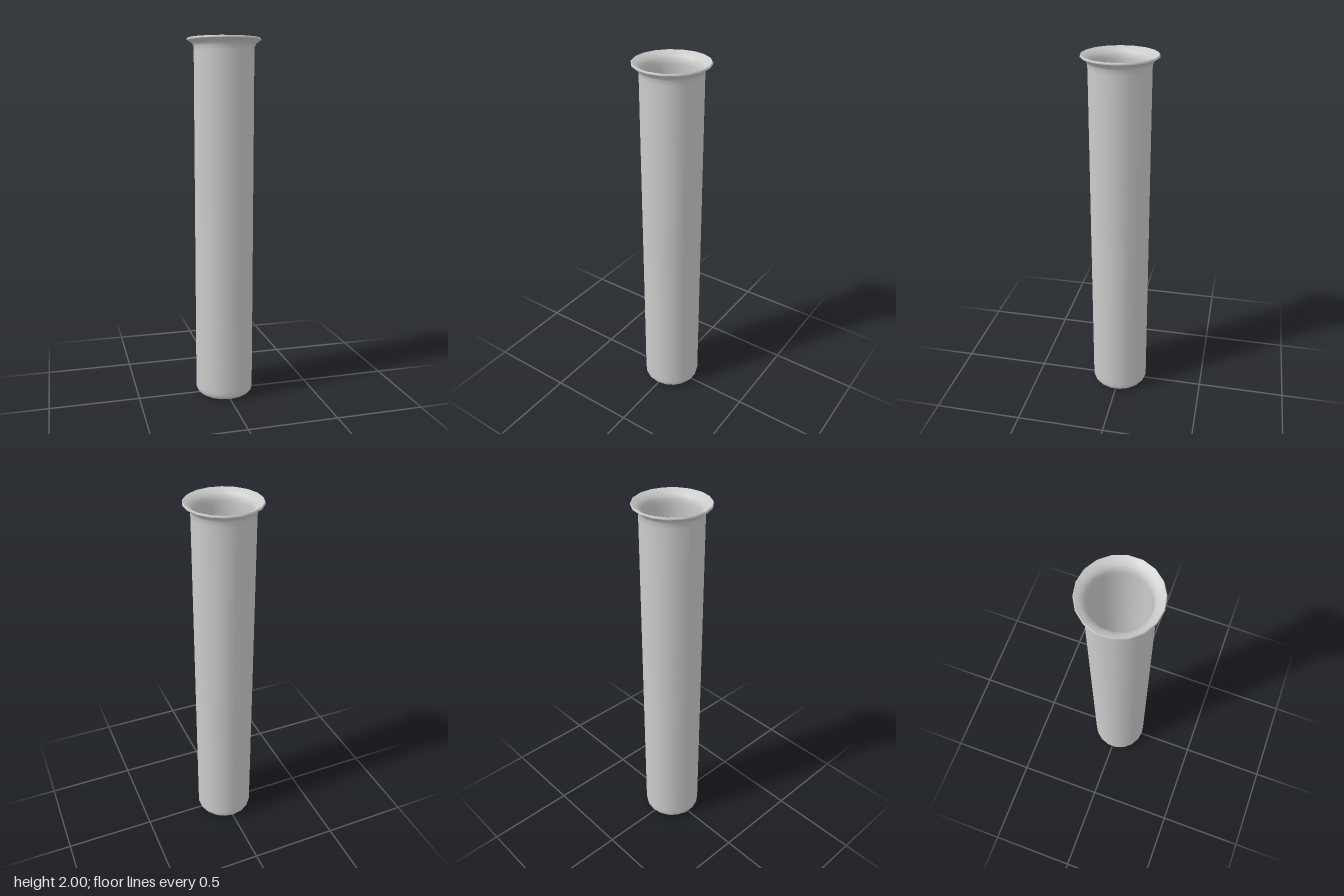
import * as THREE from 'three';

const SIDES = 18;

export function createModel() {
  const group = new THREE.Group();
  group.name = 'flaredTube';
  const material = new THREE.MeshStandardMaterial({ color: 0xcccccc });

  // Each profile is a list of [radius, height]; separate sections keep hard edges between them
  const addLathe = (name, profile) => {
    const points = profile.map(([r, y]) => new THREE.Vector2(r, y));
    const mesh = new THREE.Mesh(new THREE.LatheGeometry(points, SIDES), material);
    mesh.name = name;
    group.add(mesh);
  };

  // Flat underside
  addLathe('base', [[0, 0], [0.138, 0]]);

  // Outside: rounded foot, straight wall, flare under the lip
  addLathe('outerWall', [
    [0.138, 0], [0.152, 0.008], [0.16, 0.018], [0.163, 0.034], [0.163, 0.06],
    [0.163, 1.93], [0.164, 1.955], [0.171, 1.969], [0.184, 1.98], [0.199, 1.989],
  ]);

  // Thin edge of the lip
  addLathe('rim', [[0.199, 1.989], [0.2, 1.995], [0.196, 2]]);

  // Inside: funnel mouth, straight bore, rounded floor
  addLathe('innerWall', [
    [0.196, 2], [0.177, 1.99], [0.161, 1.977], [0.151, 1.962], [0.147, 1.94], [0.147, 1.91],
    [0.147, 0.06], [0.146, 0.042], [0.14, 0.028], [0.128, 0.02], [0.11, 0.018], [0, 0.018],
  ]);

  return group;
}
